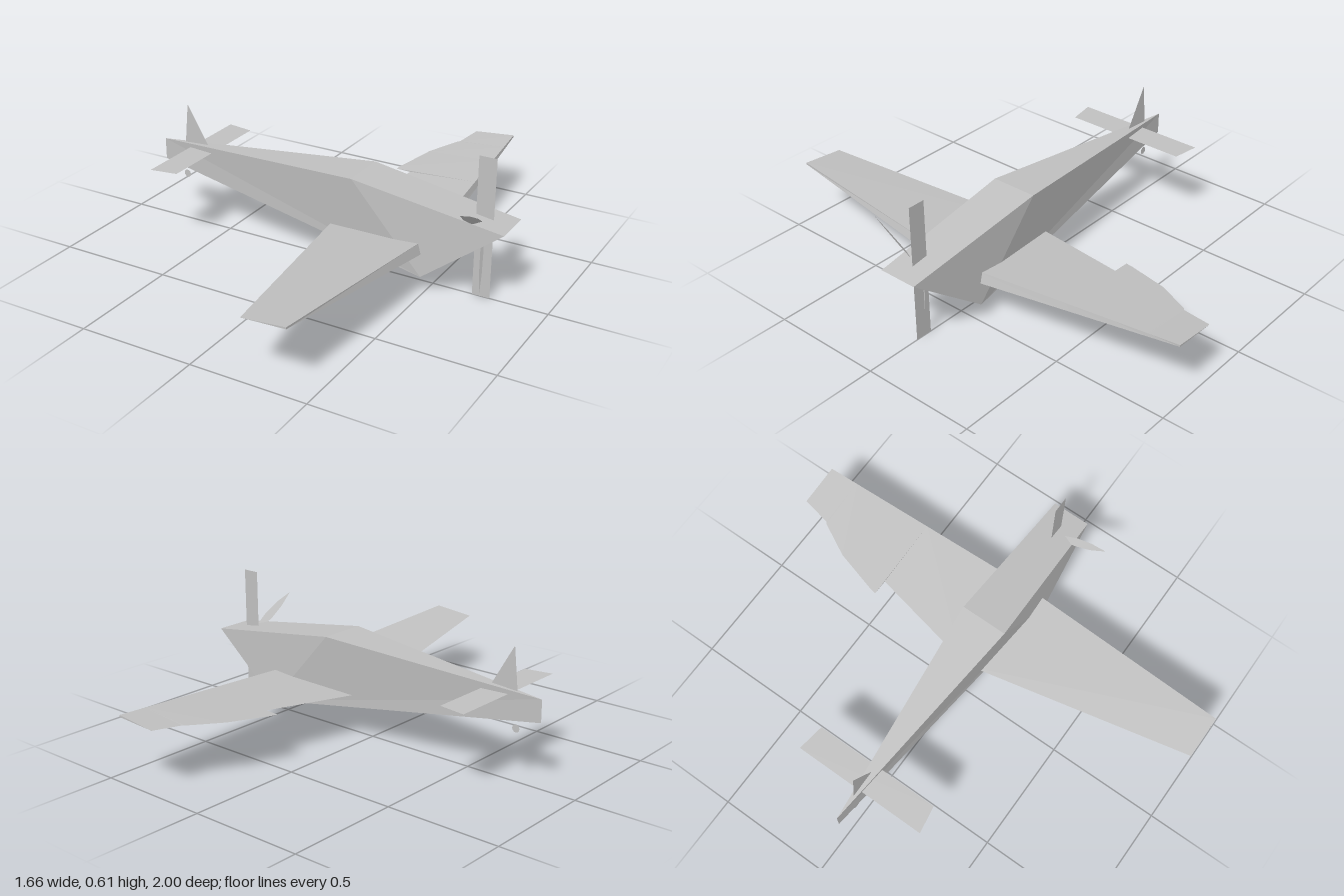
import * as THREE from 'three';

const grey = new THREE.MeshStandardMaterial({ color: 0xc0c0c0 });
grey.name = 'light grey';
grey.side = THREE.DoubleSide;
grey.flatShading = true;

// Faceted mesh from corner points and polygon faces (each drawn as a fan)
function facets(name, points, faces) {
  const pos = [];
  for (const f of faces)
    for (let i = 1; i < f.length - 1; i++)
      for (const k of [f[0], f[i], f[i + 1]]) pos.push(...points[k]);
  const geo = new THREE.BufferGeometry();
  geo.setAttribute('position', new THREE.Float32BufferAttribute(pos, 3));
  geo.computeVertexNormals();
  const mesh = new THREE.Mesh(geo, grey);
  mesh.name = name;
  return mesh;
}

// Thin upright sheet in the x-y plane
function sheet(name, outline) {
  const shape = new THREE.Shape(outline.map(([x, y]) => new THREE.Vector2(x, y)));
  const mesh = new THREE.Mesh(new THREE.ShapeGeometry(shape), grey);
  mesh.name = name;
  return mesh;
}

// Wing with a sharp trailing edge and a blunt leading face; stations are [span, trailing x]
function wing(name, side, stations) {
  const mix = THREE.MathUtils.lerp;
  const points = [], faces = [];
  stations.forEach(([z, trail], i) => {
    const t = (z - 0.1) / 0.9;
    points.push(
      [mix(0.475, 0.42, t), mix(0.22, 0.284, t), side * z],
      [mix(0.488, 0.42, t), mix(0.175, 0.276, t), side * z],
      [trail, mix(0.195, 0.267, t), side * z]);
    if (i === 0) return;
    const b = i * 3, a = b - 3;
    for (let k = 0; k < 3; k++) {
      const n = (k + 1) % 3;
      faces.push(side > 0 ? [a + k, a + n, b + n, b + k] : [a + k, b + k, b + n, a + n]);
    }
  });
  const e = points.length - 3;
  faces.push(side > 0 ? [e, e + 1, e + 2] : [e, e + 2, e + 1]);
  return facets(name, points, faces);
}

// Slender pitched propeller blade reaching from the hub
function blade(name, length, angle) {
  const s = new THREE.Shape();
  s.moveTo(-0.008, 0);
  s.lineTo(-0.018, length * 0.4);
  s.lineTo(-0.014, length * 0.7);
  s.lineTo(0, length);
  s.lineTo(0.014, length * 0.7);
  s.lineTo(0.018, length * 0.4);
  s.lineTo(0.008, 0);
  const mesh = new THREE.Mesh(new THREE.ShapeGeometry(s), grey);
  mesh.rotation.y = Math.PI / 4;
  const pivot = new THREE.Group();
  pivot.name = name;
  pivot.position.set(0.71, 0.325, 0.01);
  pivot.rotation.x = angle;
  pivot.add(mesh);
  return pivot;
}

export function createModel() {
  const model = new THREE.Group();
  model.name = 'airplane';

  // Fuselage: wedge that narrows to an upright edge at the tail
  const body = [[-0.835, 0.365, 0], [-0.835, 0.27, 0]];
  for (const s of [1, -1])
    body.push([0.17, 0.433, s * 0.103], [0.83, 0.336, s * 0.085], [0.49, 0.075, s * 0.104]);
  model.add(facets('fuselage', body, [
    [0, 1, 4], [0, 4, 2], [2, 4, 3],
    [0, 7, 1], [0, 5, 7], [5, 6, 7],
    [0, 2, 5], [2, 3, 6, 5], [3, 4, 7, 6], [1, 7, 4],
  ]));

  // Wings; the far one has a lowered flap along its trailing edge
  model.add(wing('leftWing', 1, [[0.03, 0.047], [1, 0.23]]));
  model.add(wing('rightWing', -1, [
    [0.03, 0.047], [0.5, 0.137], [0.5, 0.068], [0.53, 0.073],
    [0.72, 0.125], [0.865, 0.2], [0.87, 0.208], [1, 0.233],
  ]));

  // Tail surfaces
  model.add(facets('tailplane', [
    [-0.69, 0.357, -0.3], [-0.69, 0.357, 0.3], [-0.57, 0.357, 0.28], [-0.57, 0.357, -0.283],
  ], [[0, 1, 2, 3]]));
  model.add(sheet('tailFin', [[-0.725, 0.36], [-0.605, 0.37], [-0.605, 0.382], [-0.698, 0.54], [-0.705, 0.55]]));

  // Tail wheel
  const wheel = new THREE.Mesh(new THREE.CircleGeometry(0.017, 12), grey);
  wheel.name = 'tailWheel';
  wheel.position.set(-0.722, 0.22, 0);
  model.add(wheel);

  // Propeller: an upright plate and two slim blades
  model.add(sheet('propellerPlate', [[0.674, 0], [0.75, 0], [0.75, 0.607], [0.674, 0.607]]));
  model.add(blade('lowerBlade', 0.305, Math.PI));
  model.add(blade('upperBlade', 0.268, Math.PI / 3));

  return model;
}
